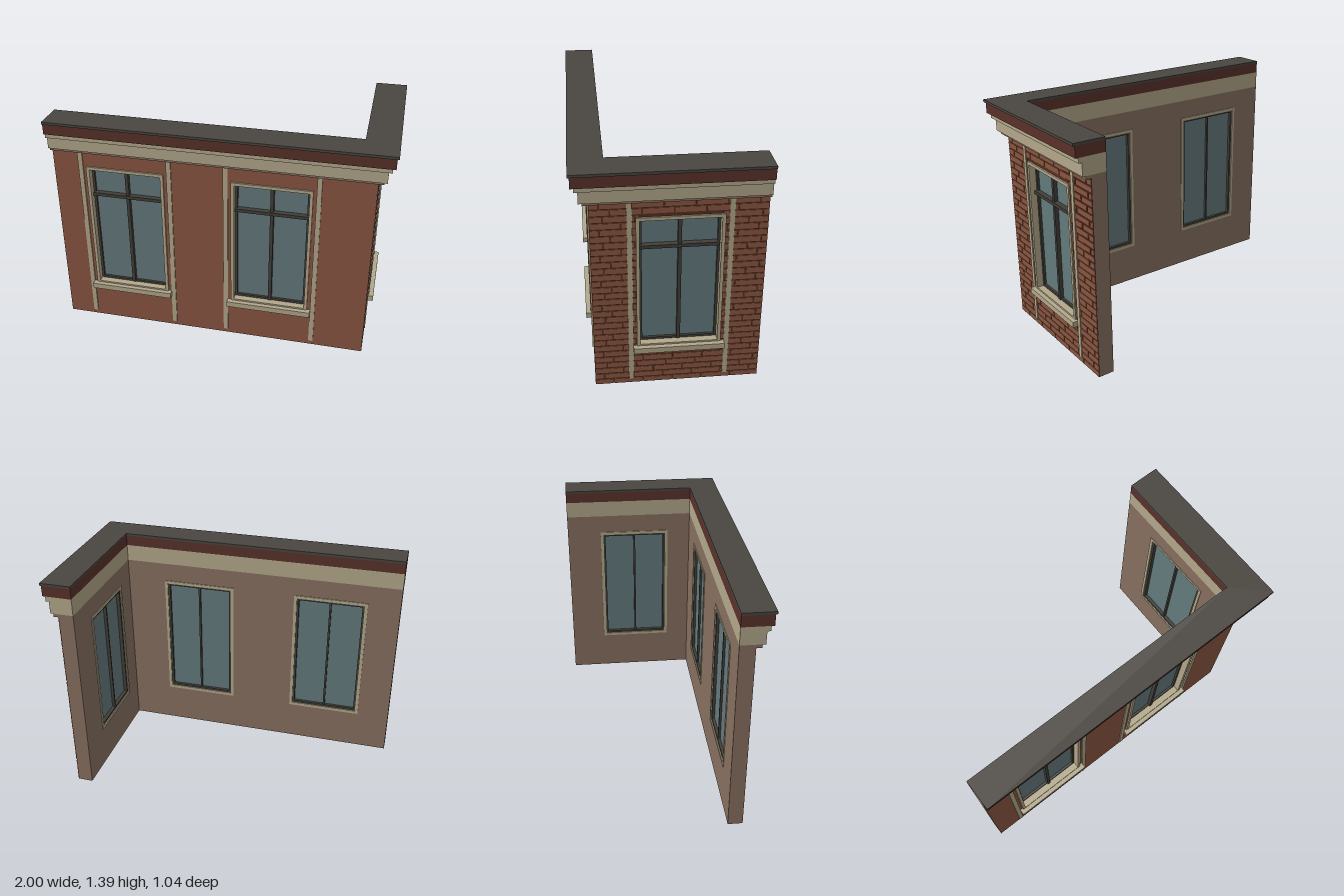
import * as THREE from 'three';
import { mergeGeometries } from 'three/addons/utils/BufferGeometryUtils.js';

const mat = (name, color) => new THREE.MeshStandardMaterial({ name, color });
const M = {
  brick: mat('brick', 0x8a5641),
  mortar: mat('mortar', 0x57301f),
  plaster: mat('inner plaster', 0x87705f),
  stone: mat('stone trim', 0xb3a88b),
  frieze: mat('maroon frieze', 0x5a322a),
  roof: mat('dark roof', 0x4a4640),
  frame: mat('window frame', 0x423f39),
  glass: mat('glass', 0x647a7d),
};

const WALL_TOP = 1.19;
const HOLE = { half: 0.225, y0: 0.265, y1: 1.08 };

function add(group, name, geometry, material) {
  const mesh = new THREE.Mesh(geometry, material);
  mesh.name = name;
  group.add(mesh);
  return mesh;
}

// Box given by its limits along the wall (u), up (y) and outward (w)
function box(u0, u1, y0, y1, w0, w1) {
  return new THREE.BoxGeometry(u1 - u0, y1 - y0, w1 - w0)
    .translate((u0 + u1) / 2, (y0 + y1) / 2, (w0 + w1) / 2);
}

function rect(target, u0, u1, y0, y1) {
  target.moveTo(u0, y0).lineTo(u1, y0).lineTo(u1, y1).lineTo(u0, y1).lineTo(u0, y0);
  return target;
}

// Rectangular panel with rectangular holes, each [u0, u1, y0, y1]
function panel(outer, holes, w0, w1) {
  const shape = rect(new THREE.Shape(), ...outer);
  for (const h of holes) shape.holes.push(rect(new THREE.Path(), ...h));
  return new THREE.ExtrudeGeometry(shape, { depth: w1 - w0, bevelEnabled: false }).translate(0, 0, w0);
}

// Window with surround, sill and flanking strips, centred on u = 0
function makeWindow(depth) {
  const g = new THREE.Group();
  g.name = 'window';
  add(g, 'stoneSurround', panel([-0.237, 0.237, 0.255, 1.09], [[-0.218, 0.218, 0.275, 1.071]], -depth - 0.005, 0.013), M.stone);
  add(g, 'darkFrame', panel([-0.222, 0.222, 0.27, 1.075], [[-0.204, 0.204, 0.289, 1.058]], -depth + 0.002, -0.028), M.frame);
  add(g, 'glass', box(-0.21, 0.21, 0.28, 1.065, -0.065, -0.042), M.glass);
  add(g, 'mullion', box(-0.01, 0.01, 0.28, 1.065, -0.05, -0.018), M.frame);
  add(g, 'innerMullion', box(-0.006, 0.006, 0.28, 1.065, -depth + 0.006, -0.06), M.frame);
  add(g, 'transom', box(-0.215, 0.215, 0.888, 0.908, -0.05, -0.01), M.frame);
  add(g, 'sill', box(-0.257, 0.257, 0.23, 0.265, 0, 0.04), M.stone);
  for (const s of [-1, 1]) {
    add(g, 'pilasterStrip', box(s * 0.27 - 0.014, s * 0.27 + 0.014, 0.03, WALL_TOP, 0, 0.01), M.stone);
  }
  return g;
}

// Staggered raised bricks, cut away around the window
function brickCourses(u0, u1, centre) {
  const rows = 30, rowH = WALL_TOP / rows, pitch = 0.168, gap = 0.009;
  const c0 = centre - HOLE.half, c1 = centre + HOLE.half;
  const shifts = [0.056, 0.112, 0, 0.095];
  const parts = [];
  for (let r = 0; r < rows; r++) {
    const y0 = r * rowH, y1 = y0 + rowH - 0.008;
    const cut = y1 > HOLE.y0 && y0 < HOLE.y1;
    for (let u = u0 - shifts[r % 4]; u < u1; u += pitch) {
      const a = Math.max(u, u0), b = Math.min(u + pitch - gap, u1);
      const spans = cut ? [[a, Math.min(b, c0)], [Math.max(a, c1), b]] : [[a, b]];
      for (const [p, q] of spans) if (q - p > 0.004) parts.push(box(p, q, y0, y1, 0.001, 0.006));
    }
  }
  return mergeGeometries(parts);
}

// Wall in local space: outer face at z = 0, windows at the given centres
function makeWall(name, core, skin, depth, centres, skinMaterial) {
  const g = new THREE.Group();
  g.name = name;
  const holes = centres.map(c => [c - HOLE.half, c + HOLE.half, HOLE.y0, HOLE.y1]);
  add(g, 'wallCore', panel([...core, 0, WALL_TOP], holes, -depth, 0), M.plaster);
  add(g, 'outerFacing', panel([...skin, 0, WALL_TOP], holes, 0, 0.003), skinMaterial);
  for (const c of centres) {
    const w = makeWindow(depth);
    w.position.x = c;
    g.add(w);
  }
  return g;
}

export function createModel() {
  const model = new THREE.Group();
  model.name = 'cornerFacade';

  // Long front wall
  const front = makeWall('frontWall', [-1, 0.9], [-1, 0.903], 0.085, [-0.559, 0.318], M.brick);
  front.position.z = 0.42;
  model.add(front);

  // Short side wall with brick relief
  const side = makeWall('sideWall', [-0.335, 0.52], [-0.42, 0.52], 0.09, [0.055], M.mortar);
  add(side, 'brickCourses', brickCourses(-0.423, 0.52, 0.055), M.brick);
  side.rotation.y = Math.PI / 2;
  side.position.x = 0.9;
  model.add(side);

  // Stepped L-shaped cornice: name, bottom, top, overhang, material
  const layers = [
    ['corniceBase', 1.19, 1.21, 0.035, M.plaster],
    ['corniceBand', 1.21, 1.285, 0.053, M.stone],
    ['corniceLip', 1.285, 1.315, 0.073, M.stone],
    ['frieze', 1.315, 1.38, 0.09, M.frieze],
    ['roofCap', 1.38, 1.395, 0.1, M.roof],
  ];
  for (const [name, y0, y1, out, material] of layers) {
    const x = 0.9 + out, z = 0.42 + out;
    const plan = [[-1, z], [x, z], [x, -0.52], [0.81, -0.52], [0.81, 0.335], [-1, 0.335]];
    const shape = new THREE.Shape(plan.map(([px, pz]) => new THREE.Vector2(px, -pz)));
    const geo = new THREE.ExtrudeGeometry(shape, { depth: y1 - y0, bevelEnabled: false });
    add(model, name, geo.rotateX(-Math.PI / 2).translate(0, y0, 0), material);
  }
  return model;
}
